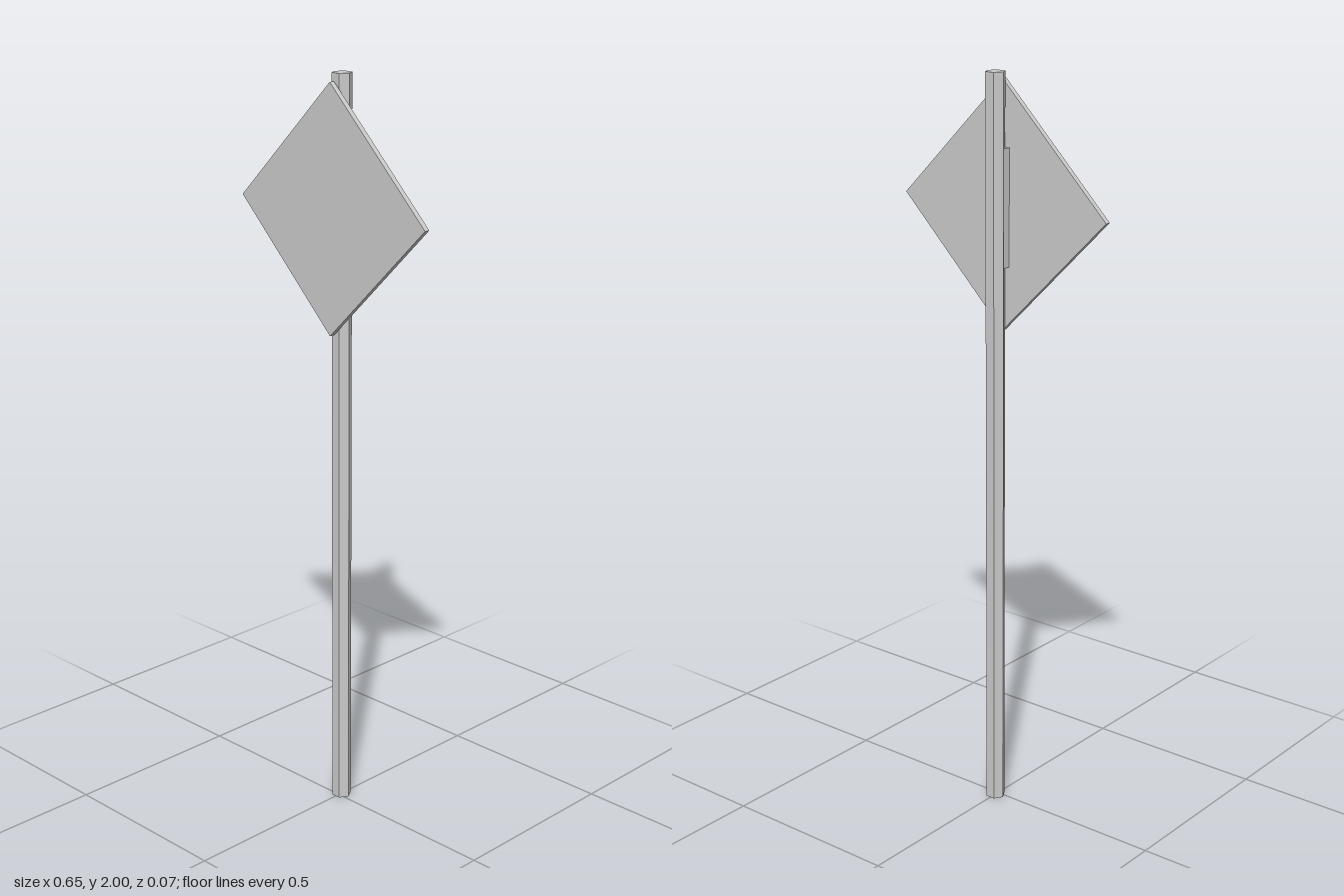
import * as THREE from 'three';

export function createModel() {
  const model = new THREE.Group();
  model.name = 'signPost';
  const grey = new THREE.MeshStandardMaterial({ color: 0xcccccc, flatShading: true });
  grey.name = 'light grey';

  function addPart(name, geometry, x, y, z) {
    const mesh = new THREE.Mesh(geometry, grey);
    mesh.name = name;
    mesh.position.set(x, y, z);
    model.add(mesh);
    return mesh;
  }

  // Hexagonal pole with corners pointing to the sides
  const pole = new THREE.CylinderGeometry(0.0265, 0.0265, 2, 6);
  pole.rotateY(Math.PI / 6);
  addPart('pole', pole, 0, 1, -0.011);

  // Square panel turned on its corner
  const side = 0.323 * Math.SQRT2;
  const panel = addPart('signPanel', new THREE.BoxGeometry(side, side, 0.015), 0, 1.657, 0.0245);
  panel.rotation.z = Math.PI / 4;

  // Mounting block between pole and panel
  addPart('bracket', new THREE.BoxGeometry(0.045, 0.305, 0.022), 0, 1.657, 0.006);

  return model;
}
